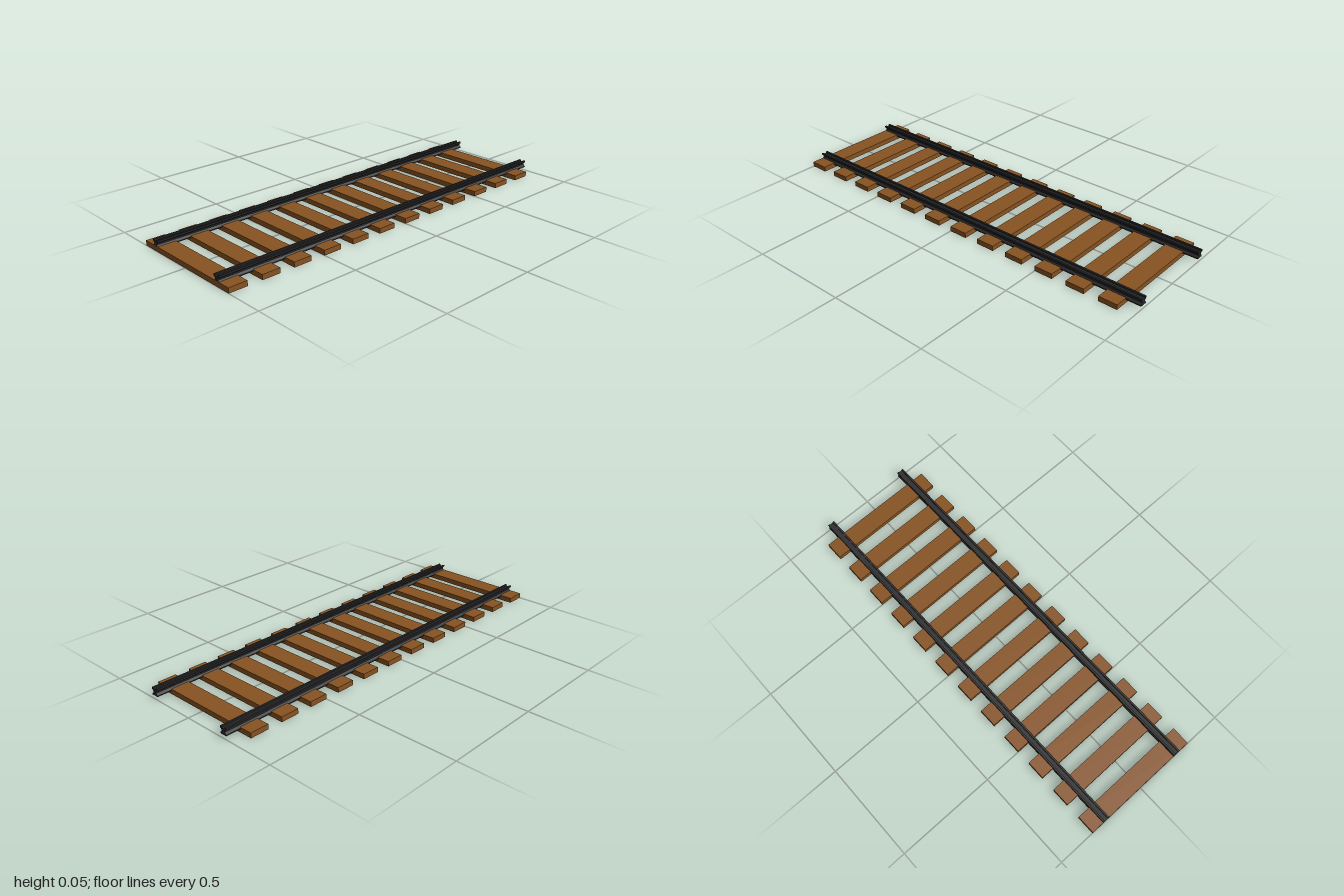
import * as THREE from 'three';

const wood = new THREE.MeshStandardMaterial({ color: 0x875321 });
wood.name = 'brown wood';
const steel = new THREE.MeshStandardMaterial({ color: 0x2a2a2c });
steel.name = 'dark steel';

// Right half of the rail cross-section: [offset from rail centre, height]
const railHalf = [
  [0.018, 0.017], [0.018, 0.022], [0.009, 0.031], [0.009, 0.038],
  [0.018, 0.045], [0.018, 0.053], [0.009, 0.053], [0.009, 0.046],
];

export function createModel() {
  const track = new THREE.Group();
  track.name = 'railwayTrack';

  // Evenly spaced wooden sleepers, starting flush with the -x end of the rails
  const width = 0.093, height = 0.025, length = 0.616, count = 12, spacing = 2 / count;
  const sleeperGeometry = new THREE.BoxGeometry(width, height, length);
  for (let i = 0; i < count; i++) {
    const sleeper = new THREE.Mesh(sleeperGeometry, wood);
    sleeper.name = `sleeper${i + 1}`;
    sleeper.position.set(-1 + width / 2 + i * spacing, height / 2, 0);
    track.add(sleeper);
  }

  // Two grooved rails, extruded along x from a mirrored profile
  const mirrored = railHalf.map(([x, y]) => [-x, y]).reverse();
  const profile = new THREE.Shape([...railHalf, ...mirrored].map(([x, y]) => new THREE.Vector2(x, y)));
  const railGeometry = new THREE.ExtrudeGeometry(profile, { depth: 2, bevelEnabled: false });
  railGeometry.translate(0, 0, -1).rotateY(Math.PI / 2);
  for (const side of [1, -1]) {
    const rail = new THREE.Mesh(railGeometry, steel);
    rail.name = side > 0 ? 'frontRail' : 'backRail';
    rail.position.z = side * 0.228;
    track.add(rail);
  }

  return track;
}
